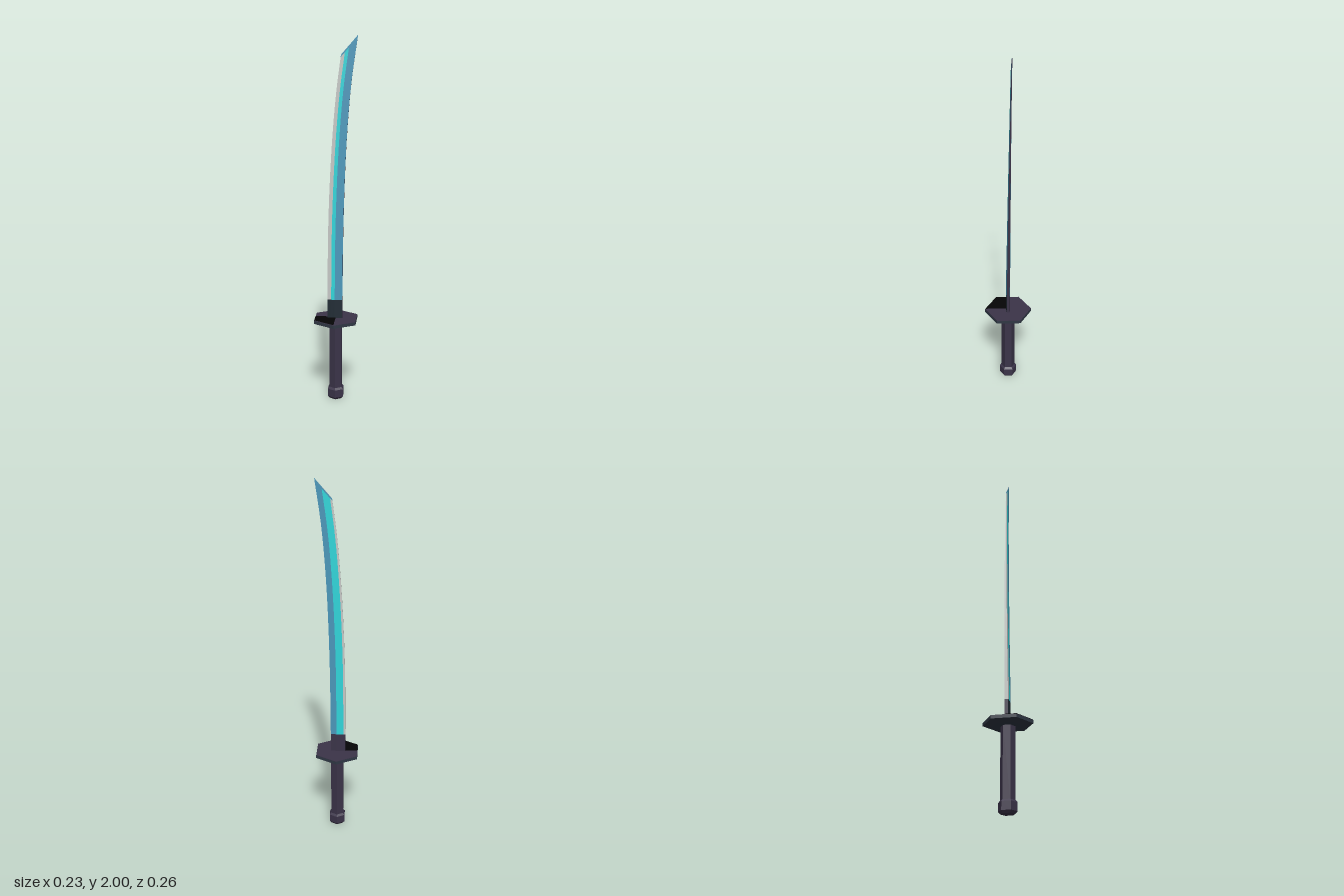
import * as THREE from 'three';

const mat = (name, color, extra = {}) => {
  const m = new THREE.MeshStandardMaterial({ color, flatShading: true, ...extra });
  m.name = name;
  return m;
};

export function createModel() {
  const purple = mat('dark purple', 0x3b3449);
  const slate = mat('dark slate', 0x212c35);
  const iron = mat('guard iron', 0x303845);
  const grey = mat('edge grey', 0xc6c8c6);
  const cyan = mat('cyan', 0x30d6da);
  const blue = mat('steel blue', 0x4b98bb);
  const black = mat('black', 0x050506, { side: THREE.DoubleSide });

  const group = new THREE.Group();
  const add = (name, geometry, material) => {
    const mesh = new THREE.Mesh(geometry, material);
    mesh.name = name;
    group.add(mesh);
    return mesh;
  };
  // Six-sided turned part with corners on +z and -z
  const hexLathe = (profile) =>
    new THREE.LatheGeometry(profile.map(([r, y]) => new THREE.Vector2(r, y)), 6);

  // Grip and pommel
  add('grip', hexLathe([[0, 0.05], [0.039, 0.05], [0.039, 0.46], [0, 0.46]]), purple);
  add('pommel', hexLathe([[0, 0], [0.038, 0], [0.049, 0.013], [0.049, 0.057], [0.039, 0.068], [0, 0.068]]), purple);

  // Guard: chamfered iron plate with a purple top
  add('guard', hexLathe([[0, 0.446], [0.085, 0.446], [0.132, 0.456], [0.132, 0.473], [0, 0.473]]), iron);
  add('guardTop', hexLathe([[0.131, 0.473], [0.131, 0.4745], [0, 0.4745]]), purple);
  const quarter = new THREE.Shape([[-0.113, 0.006], [0, 0.006], [0, -0.13], [-0.113, -0.065]]
    .map(([x, y]) => new THREE.Vector2(x, y)));
  const patch = add('guardDarkQuarter', new THREE.ShapeGeometry(quarter), black);
  patch.rotation.x = -Math.PI / 2;
  patch.position.y = 0.4765;

  // Blade edges, from the guard to the slanted tip
  const curve = (pts) => new THREE.CatmullRomCurve3(pts.map(([x, y]) => new THREE.Vector3(x, y, 0)));
  const cutting = curve([[-0.045, 0.58], [-0.041, 1], [-0.024, 1.4], [0, 1.7], [0.025, 1.9]]);
  const spine = curve([[0.036, 0.58], [0.041, 1.03], [0.056, 1.45], [0.08, 1.76], [0.113, 2]]);

  // Ring of eight points: front from cutting edge to spine, then back again.
  // Each point is [share of the width, offset in z].
  const section = [[0, 0.0095], [0.25, 0.0115], [0.49, 0.0125], [1, 0.008],
    [1, -0.008], [0.6, -0.0115], [0.13, -0.0105], [0, -0.0085]];
  const ring = (a, b) => section.map(([u, z]) => {
    const p = a.clone().lerp(b, u);
    const t = Math.max(0, (p.y - 0.58) / 1.42);
    p.z = -0.015 * t + z * (1 - 0.82 * t);
    return p;
  });
  const rings = [ring(new THREE.Vector3(-0.045, 0.47, 0), new THREE.Vector3(0.036, 0.47, 0))];
  const steps = 14;
  for (let i = 0; i <= steps; i++) {
    const t = (i / steps) * 0.985;
    rings.push(ring(cutting.getPoint(t), spine.getPoint(t)));
  }
  rings.push(ring(cutting.getPoint(1), spine.getPoint(1)));

  // Sort the faces by colour, one mesh for each band
  const bands = new Map();
  const quad = (name, material, a, b, c, d) => {
    if (!bands.has(name)) bands.set(name, { material, points: [] });
    bands.get(name).points.push(a, b, c, a, c, d);
  };
  const stripes = [['bladeEdge', grey], ['bladeStripe', cyan], ['bladeFlat', blue], ['bladeSpine', purple],
    ['bladeFlat', blue], ['bladeStripe', cyan], ['bladeEdge', grey], ['bladeEdge', grey]];
  for (let r = 0; r + 1 < rings.length; r++) {
    const low = rings[r], high = rings[r + 1];
    stripes.forEach(([name, material], i) => {
      const j = (i + 1) % 8;
      if (r === 0) [name, material] = i < 3 ? ['collarFront', slate] : ['collarBack', purple];
      else if (r + 2 === rings.length && i !== 3) [name, material] = ['bladeFlat', blue];
      quad(name, material, low[i], low[j], high[j], high[i]);
    });
  }
  // Slanted end face
  const end = rings[rings.length - 1];
  for (let i = 0; i < 3; i++) quad('bladeEdge', grey, end[i], end[i + 1], end[6 - i], end[7 - i]);

  for (const [name, { material, points }] of bands) {
    const geometry = new THREE.BufferGeometry().setFromPoints(points);
    geometry.computeVertexNormals();
    add(name, geometry, material);
  }
  return group;
}
